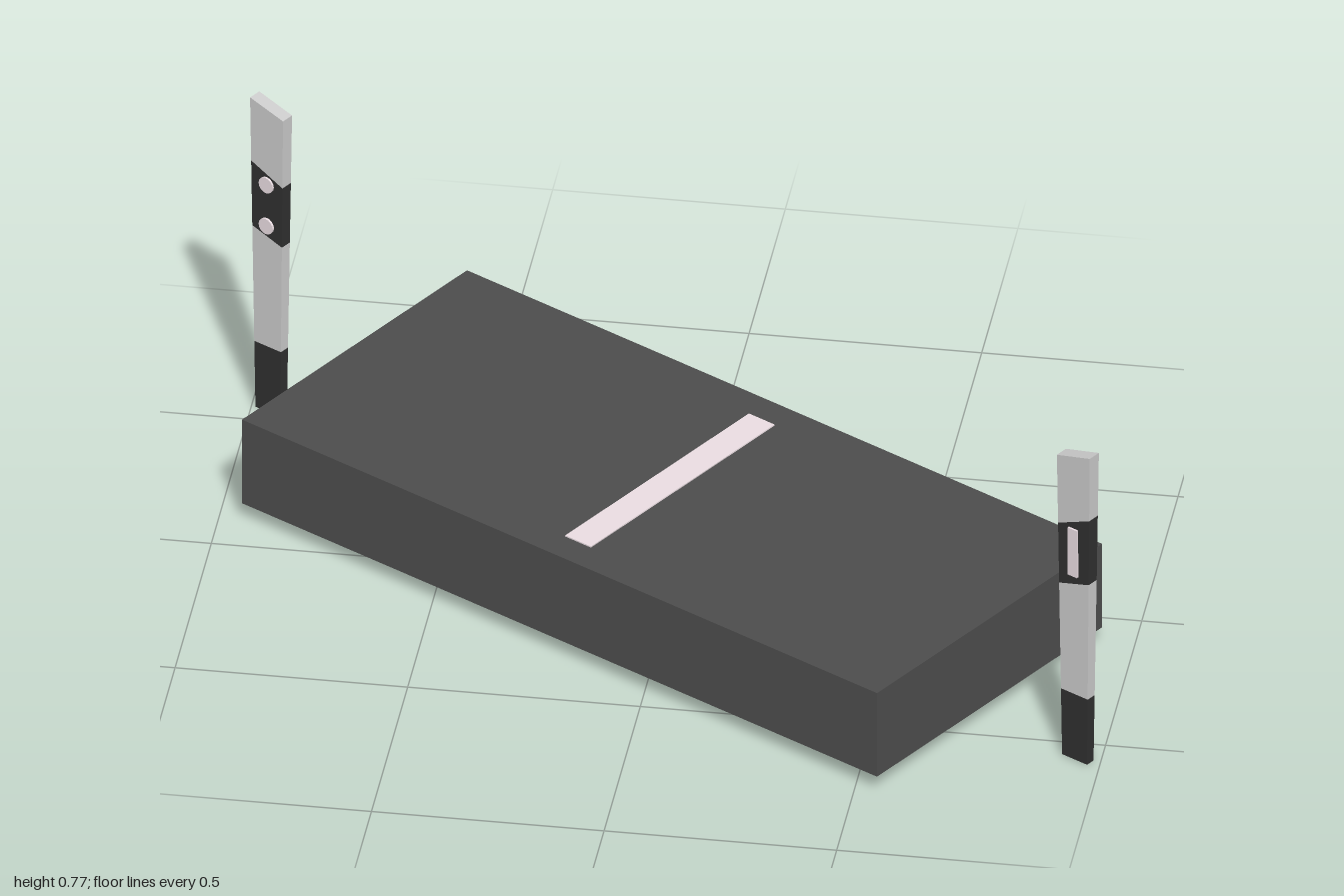
import * as THREE from 'three';

const mat = (color) => new THREE.MeshStandardMaterial({ color, flatShading: true });
const asphalt = mat(0x4d4d4d);
const black = mat(0x303030);
const grey = mat(0xcccccc);
const pale = mat(0xeadde2);

function add(parent, name, geometry, material, x = 0, y = 0, z = 0) {
  const mesh = new THREE.Mesh(geometry, material);
  mesh.name = name;
  mesh.position.set(x, y, z);
  parent.add(mesh);
  return mesh;
}

// One slice of a post: tapers towards the ground, ends slant from inner (-x) to outer (+x) edge
function postSlice(bottom, top) {
  const geo = new THREE.BoxGeometry(1, 1, 1);
  const p = geo.attributes.position;
  for (let i = 0; i < p.count; i++) {
    const [inner, outer] = p.getY(i) > 0 ? top : bottom;
    const y = p.getX(i) > 0 ? outer : inner;
    const t = y / 0.775;
    p.setXYZ(i, p.getX(i) * (0.068 + 0.022 * t), y, p.getZ(i) * (0.022 + 0.009 * t));
  }
  geo.computeVertexNormals();
  return geo;
}

function createPost() {
  const post = new THREE.Group();
  // Inner and outer heights of the cuts between the slices
  const cuts = [[0, 0], [0.165, 0.165], [0.43, 0.455], [0.58, 0.617], [0.75, 0.775]];
  const names = ['postFoot', 'postShaft', 'postBand', 'postTop'];
  names.forEach((name, i) =>
    add(post, name, postSlice(cuts[i], cuts[i + 1]), i % 2 ? grey : black));

  // Bar reflector on one face, two round reflectors on the other
  add(post, 'barReflector', new THREE.BoxGeometry(0.025, 0.118, 0.01), pale, 0, 0.523, 0.014);
  for (const y of [0.47, 0.573]) {
    const disc = add(post, 'roundReflector', new THREE.CylinderGeometry(0.019, 0.019, 0.01, 16), pale, 0, y, -0.014);
    disc.rotation.x = Math.PI / 2;
  }
  return post;
}

export function createModel() {
  const model = new THREE.Group();
  model.name = 'roadSection';

  // Everything lies along a line turned 30 degrees
  const layout = new THREE.Group();
  layout.name = 'layout';
  layout.rotation.y = -Math.PI / 6;
  model.add(layout);

  // Road slab with its centre marking
  add(layout, 'roadSlab', new THREE.BoxGeometry(1.732, 0.21, 0.762), asphalt, -0.01, 0.145, 0.003);
  add(layout, 'laneMarking', new THREE.BoxGeometry(0.07, 0.01, 0.622), pale, -0.015, 0.248, 0.004);

  // Marker posts at both ends, half a turn apart
  for (const side of [1, -1]) {
    const post = createPost();
    post.name = side > 0 ? 'leftPost' : 'rightPost';
    post.position.x = side * 1.1;
    post.position.z = 0.007;
    post.rotation.y = side > 0 ? 0 : Math.PI;
    layout.add(post);
  }
  return model;
}
